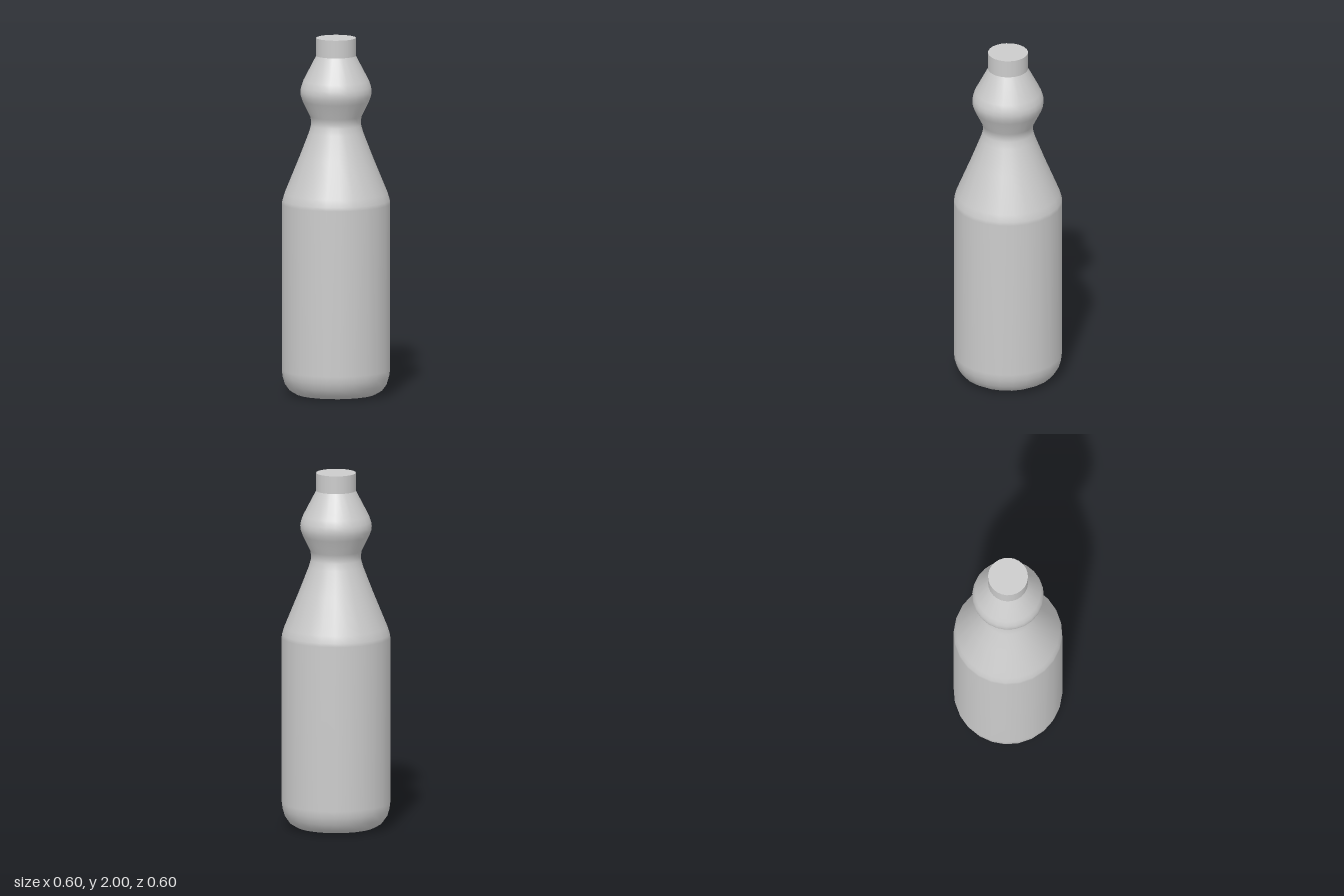
import * as THREE from 'three';

const SIDES = 24;

function lathe(name, profile, material) {
  const points = profile.map(([r, y]) => new THREE.Vector2(r, y));
  const mesh = new THREE.Mesh(new THREE.LatheGeometry(points, SIDES), material);
  mesh.name = name;
  return mesh;
}

export function createModel() {
  const group = new THREE.Group();
  group.name = 'bottle';
  const material = new THREE.MeshStandardMaterial({ color: 0xcccccc });

  // Body: hollowed base, rounded heel, straight wall, tapered shoulder, waist and bulge
  group.add(lathe('body', [
    [0, 0.06], [0.1, 0.055], [0.15, 0.04], [0.18, 0.012], [0.2, 0],
    [0.225, 0.004], [0.26, 0.025], [0.285, 0.06], [0.297, 0.1], [0.302, 0.14],
    [0.302, 1.07], [0.299, 1.09], [0.287, 1.13],
    [0.205, 1.33], [0.151, 1.47], [0.14, 1.51], [0.138, 1.53], [0.143, 1.56],
    [0.185, 1.645], [0.196, 1.675], [0.199, 1.7], [0.195, 1.725], [0.183, 1.76],
    [0.105, 1.91],
  ], material));

  // Screw cap, slightly wider than the neck
  const cap = new THREE.Mesh(new THREE.CylinderGeometry(0.111, 0.111, 0.1, SIDES), material);
  cap.name = 'cap';
  cap.position.y = 1.95;
  group.add(cap);

  return group;
}
